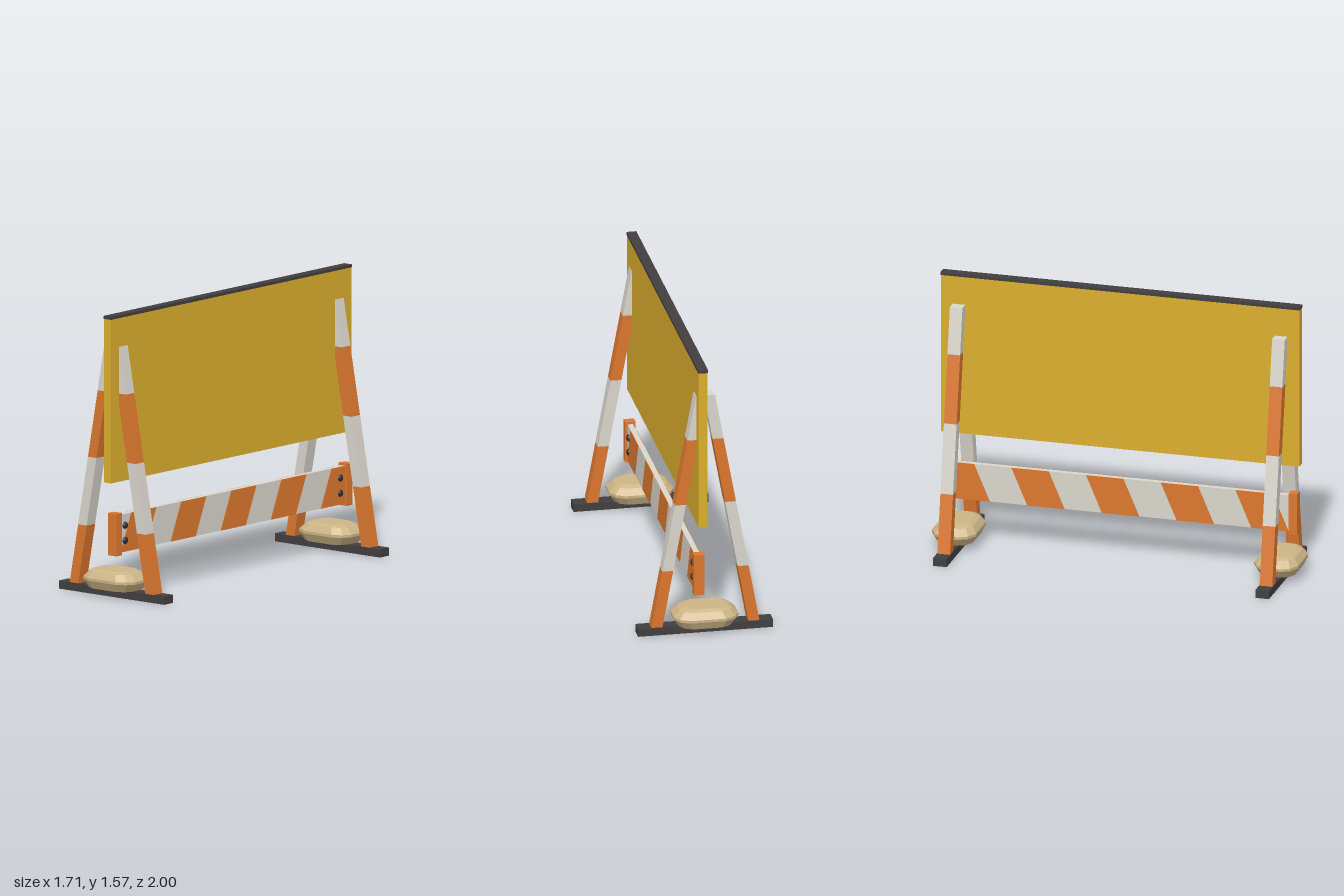
import * as THREE from 'three';

export function createModel() {
  const mat = (name, color) => {
    const m = new THREE.MeshStandardMaterial({ color, flatShading: true });
    m.name = name;
    return m;
  };
  const yellow = mat('signYellow', 0xdcae2e);
  const orange = mat('safetyOrange', 0xdc772e);
  const white = mat('stripeWhite', 0xdad6cd);
  const dark = mat('darkRubber', 0x423e41);
  const tan = mat('sandbagTan', 0xccb486);
  const black = mat('boltBlack', 0x2e2e32);

  const model = new THREE.Group();
  model.name = 'roadBarricade';
  const add = (parent, name, geometry, material, x = 0, y = 0, z = 0) => {
    const mesh = new THREE.Mesh(geometry, material);
    mesh.name = name;
    mesh.position.set(x, y, z);
    parent.add(mesh);
    return mesh;
  };

  // Sign panel with a dark cap strip
  add(model, 'signPanel', new THREE.BoxGeometry(2.04, 0.912, 0.05), yellow, 0, 1.101, 0.026);
  add(model, 'panelCap', new THREE.BoxGeometry(2.045, 0.016, 0.055), dark, 0, 1.564, 0.026);

  // Leaning leg segment between two heights, with level ends
  const legSegment = (y0, y1, side) => {
    const g = new THREE.BoxGeometry(0.072, y1 - y0, 0.061);
    g.translate(0, (y0 + y1) / 2, 0);
    const p = g.attributes.position;
    for (let i = 0; i < p.count; i++) {
      p.setZ(i, p.getZ(i) + side * (0.27 - 0.183 * (p.getY(i) - 0.045)));
    }
    g.computeVertexNormals();
    return g;
  };

  // Sandbag lofted from rounded-rectangle rings
  const sandbag = () => {
    const quarter = [[0.125, 0.10], [0.095, 0.155], [0.05, 0.18]];
    const outline = [
      ...quarter,
      ...quarter.map(([x, z]) => [-x, z]).reverse(),
      ...quarter.map(([x, z]) => [-x, -z]),
      ...quarter.map(([x, z]) => [x, -z]).reverse(),
    ];
    const rings = [[0.045, 0], [0.045, 0.82], [0.09, 1], [0.105, 1], [0.14, 0.8], [0.152, 0.62], [0.152, 0]];
    const n = outline.length;
    const pos = [], index = [];
    for (const [y, s] of rings) for (const [x, z] of outline) pos.push(x * s, y, z * s);
    for (let r = 0; r < rings.length - 1; r++) {
      for (let i = 0; i < n; i++) {
        const a = r * n + i, b = r * n + (i + 1) % n;
        index.push(a, a + n, b, b, a + n, b + n);
      }
    }
    const g = new THREE.BufferGeometry();
    g.setAttribute('position', new THREE.Float32BufferAttribute(pos, 3));
    g.setIndex(index);
    g.computeVertexNormals();
    return g;
  };

  // Two A-frame stands, each with a foot, a sandbag and two banded legs
  const bands = [0.045, 0.373, 0.758, 1.136, 1.395];
  for (const end of [-1, 1]) {
    const stand = new THREE.Group();
    stand.name = end > 0 ? 'farStand' : 'nearStand';
    stand.position.x = end * 0.917;
    model.add(stand);
    add(stand, 'foot', new THREE.BoxGeometry(0.078, 0.045, 0.752), dark, 0, 0.0225, 0);
    add(stand, 'sandbag', sandbag(), tan);
    for (const side of [-1, 1]) {
      for (let i = 0; i < 4; i++) {
        add(stand, side > 0 ? 'frontLeg' : 'backLeg',
          legSegment(bands[i], bands[i + 1], side), i % 2 ? white : orange);
      }
    }
    // End bracket and bolts of the lower board
    add(model, 'boardBracket', new THREE.BoxGeometry(0.048, 0.236, 0.058), orange, end * 0.978, 0.357, 0.045);
    for (const y of [0.315, 0.399]) {
      const bolt = add(model, 'bolt', new THREE.SphereGeometry(0.02, 10, 8), black, end * 0.913, y, 0.062);
      bolt.scale.z = 0.7;
    }
  }

  // Lower board with slanted stripes on both faces
  const half = 0.954, bottom = 0.252, top = 0.462;
  add(model, 'lowerBoard', new THREE.BoxGeometry(half * 2, top - bottom, 0.03), white, 0, (top + bottom) / 2, 0.045);
  for (let k = -2; k <= 2; k++) {
    const c = 0.05 + 0.425 * k;
    const corners = [[-0.151, bottom], [0.061, bottom], [0.151, top], [-0.061, top]];
    const shape = new THREE.Shape(corners.map(([x, y]) =>
      new THREE.Vector2(THREE.MathUtils.clamp(c + x, -half, half), y)));
    const g = new THREE.ExtrudeGeometry(shape, { depth: 0.003, bevelEnabled: false });
    add(model, 'frontStripe', g, orange, 0, 0, 0.06);
    add(model, 'backStripe', g, orange, 0, 0, 0.027);
  }

  // The whole barricade stands turned
  model.rotation.y = THREE.MathUtils.degToRad(55);
  const root = new THREE.Group();
  root.name = 'barricade';
  root.add(model);
  return root;
}
